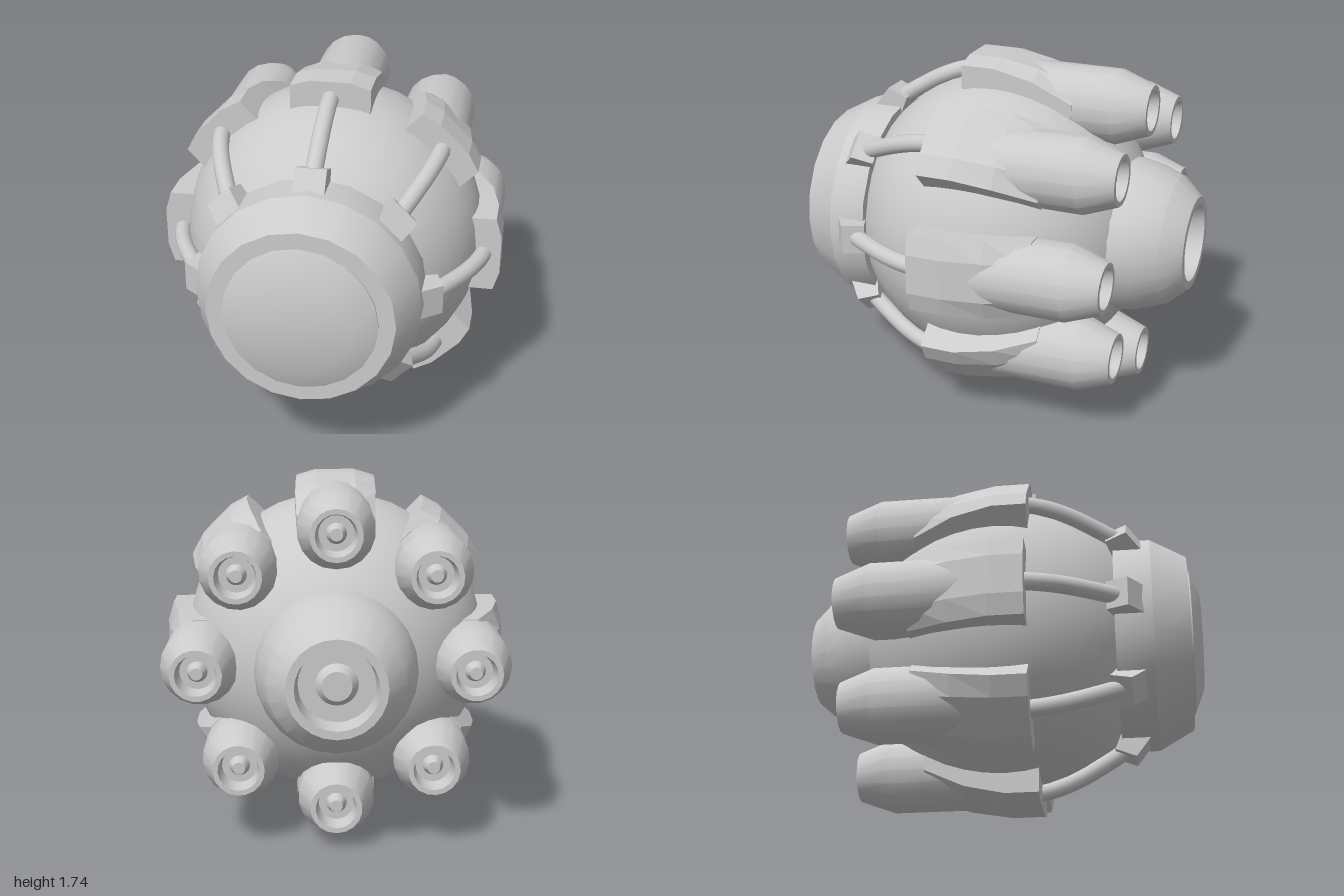
import * as THREE from 'three';
import { toCreasedNormals } from 'three/addons/utils/BufferGeometryUtils.js';

const grey = new THREE.MeshStandardMaterial({ color: 0xcccccc });
const flatGrey = new THREE.MeshStandardMaterial({ color: 0xcccccc, flatShading: true });

function add(parent, name, geometry, material = grey) {
  const mesh = new THREE.Mesh(geometry, material);
  mesh.name = name;
  parent.add(mesh);
  return mesh;
}

// Turned part along z; profile is [z, radius] from back to front
function turned(profile, sides) {
  const pts = profile.map(([z, r]) => new THREE.Vector2(r, z));
  const g = new THREE.LatheGeometry(pts, sides).rotateX(Math.PI / 2);
  return toCreasedNormals(g, 0.42);
}

// Curved armour slab lofted through stations of [z, top, shoulder, base, halfWidth]
function armourGeometry() {
  const stations = [
    [0.17, 0.87, 0.84, 0.6, 0.2],
    [0, 0.87, 0.84, 0.6, 0.2],
    [-0.2, 0.835, 0.795, 0.58, 0.2],
    [-0.4, 0.765, 0.7, 0.52, 0.19],
  ];
  const pos = [], idx = [], n = 6;
  for (const [z, top, shoulder, base, w] of stations) {
    const ring = [[-w, base], [-w, shoulder], [-w / 2, top], [w / 2, top], [w, shoulder], [w, base]];
    for (const [x, y] of ring) pos.push(x, y, z);
  }
  for (let i = 0; i < stations.length - 1; i++) {
    for (let j = 0; j < n; j++) {
      const a = i * n + j, b = i * n + (j + 1) % n;
      idx.push(a, b, b + n, a, b + n, a + n);
    }
  }
  const last = (stations.length - 1) * n;
  for (let j = 1; j < n - 1; j++) {
    idx.push(0, j + 1, j, last, last + j, last + j + 1);
  }
  const g = new THREE.BufferGeometry();
  g.setAttribute('position', new THREE.Float32BufferAttribute(pos, 3));
  g.setIndex(idx);
  g.computeVertexNormals();
  return g;
}

// Wedge-shaped socket, drawn as (z, radius) and extruded across x
function socketGeometry() {
  const outline = [[0.73, 0.52], [0.645, 0.632], [0.54, 0.59], [0.585, 0.48]];
  const shape = new THREE.Shape(outline.map(([z, r]) => new THREE.Vector2(-z, r)));
  const g = new THREE.ExtrudeGeometry(shape, { depth: 0.15, bevelEnabled: false });
  return g.translate(0, 0, -0.075).rotateY(Math.PI / 2);
}

function hoseGeometry() {
  const path = [[0.61, 0.565], [0.5, 0.635], [0.37, 0.71], [0.25, 0.76], [0.1, 0.795]];
  const curve = new THREE.CatmullRomCurve3(path.map(([z, r]) => new THREE.Vector3(0, r, z)));
  return new THREE.TubeGeometry(curve, 14, 0.043, 12);
}

export function createModel() {
  const model = new THREE.Group();
  model.name = 'podRingedCraft';
  const craft = new THREE.Group();
  craft.name = 'craft';
  craft.position.y = 0.872;
  model.add(craft);

  // Central hull
  add(craft, 'hull', new THREE.SphereGeometry(0.768, 32, 24).rotateX(Math.PI / 2));

  // Front collar and raised window
  add(craft, 'frontCollar', turned([
    [0.575, 0.44], [0.575, 0.548], [0.76, 0.548], [0.94, 0.45], [0.94, 0.3],
  ], 20));
  add(craft, 'frontWindow', turned([
    [0.9, 0.37], [0.95, 0.37], [1, 0.25], [1, 0],
  ], 20));

  // Main rear nozzle with recessed core
  add(craft, 'mainNozzle', turned([
    [-0.94, 0], [-0.94, 0.07], [-0.9, 0.1], [-0.9, 0.18], [-1, 0.195], [-1, 0.235],
    [-0.9, 0.325], [-0.78, 0.372], [-0.69, 0.39], [-0.58, 0.39],
  ], 24));

  // Eight identical engine arms around the hull
  const armour = armourGeometry();
  const socket = socketGeometry();
  const hose = hoseGeometry();
  const pod = turned([
    [-0.72, 0], [-0.72, 0.03], [-0.67, 0.05], [-0.67, 0.085], [-0.755, 0.1], [-0.755, 0.125],
    [-0.585, 0.187], [-0.1, 0.187], [-0.1, 0],
  ], 18).translate(0, 0.66, 0);
  for (let i = 0; i < 8; i++) {
    const arm = new THREE.Group();
    arm.name = 'engineArm' + (i + 1);
    arm.rotation.z = i * Math.PI / 4;
    add(arm, 'armourPlate', armour, flatGrey);
    add(arm, 'enginePod', pod);
    add(arm, 'hose', hose);
    add(arm, 'hoseSocket', socket, flatGrey);
    craft.add(arm);
  }
  return model;
}
